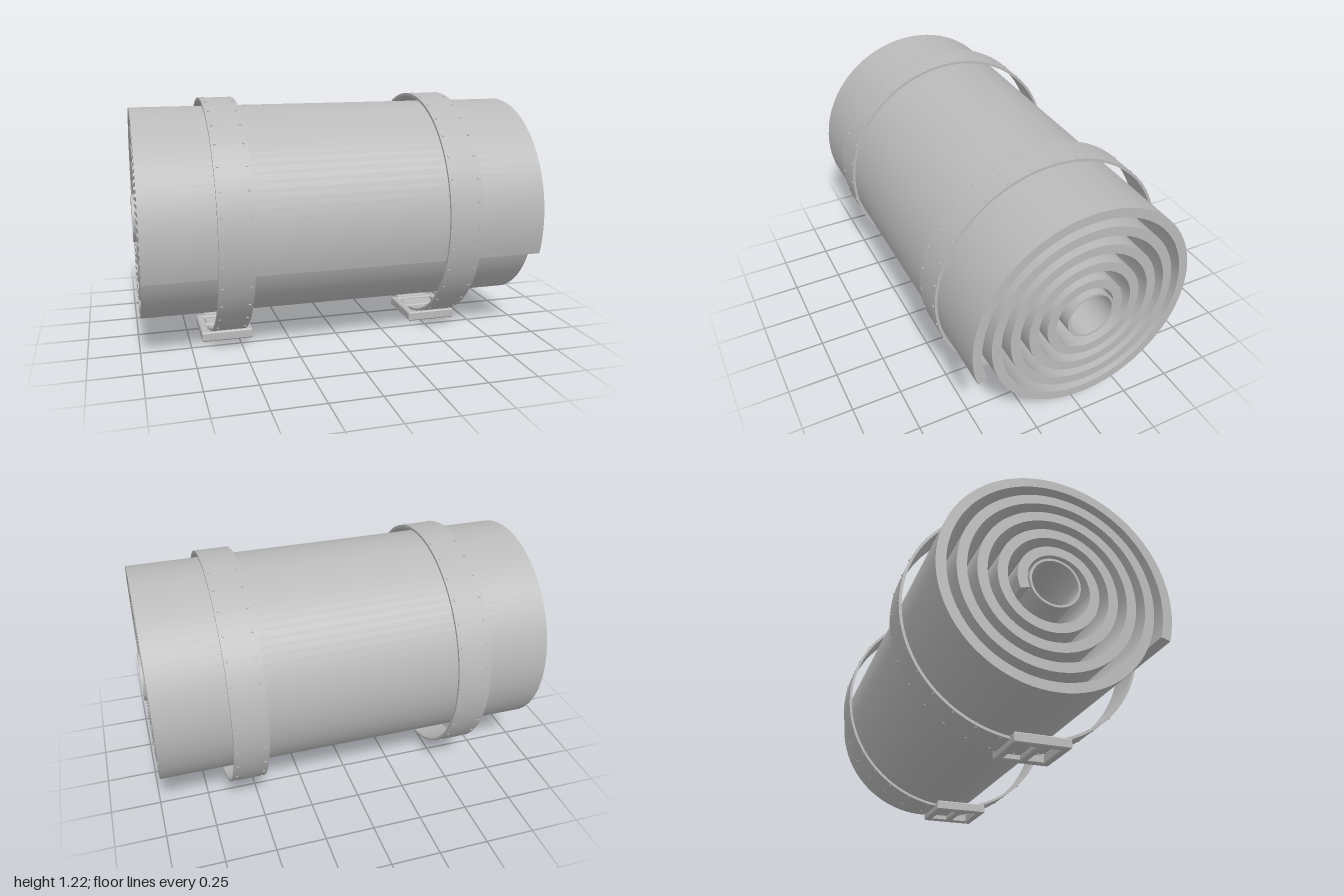
import * as THREE from 'three';
import { toCreasedNormals } from 'three/addons/utils/BufferGeometryUtils.js';

const AXIS_Y = 0.625;

// Extrudes a profile along x, centred; profile x points to -z.
function extrudeX(shape, length) {
  const g = new THREE.ExtrudeGeometry(shape, { depth: length, bevelEnabled: false, curveSegments: 96 });
  g.translate(0, 0, -length / 2).rotateY(Math.PI / 2);
  return toCreasedNormals(g, 0.5);
}

function ringShape(outer, inner) {
  const s = new THREE.Shape().absarc(0, 0, outer, 0, Math.PI * 2);
  s.holes.push(new THREE.Path().absarc(0, 0, inner, 0, Math.PI * 2, true));
  return s;
}

// Band of constant thickness wound outwards along an even spiral.
function spiralShape() {
  const start = -0.31, end = Math.PI * 9 + 0.315, n = 380;
  const pitch = 0.0908 / (Math.PI * 2), thickness = 0.046;
  const outer = [], inner = [];
  for (let i = 0; i <= n; i++) {
    const a = start + (end - start) * i / n;
    const r = 0.169 + pitch * a;
    outer.push(new THREE.Vector2(r * Math.cos(a), r * Math.sin(a)));
    inner.push(new THREE.Vector2((r - thickness) * Math.cos(a), (r - thickness) * Math.sin(a)));
  }
  return new THREE.Shape([...outer, ...inner.reverse()]);
}

function rectPath(PathType, x0, y0, x1, y1) {
  return new PathType([[x0, y0], [x1, y0], [x1, y1], [x0, y1]].map(p => new THREE.Vector2(...p)));
}

// Flat bevelled frame with a centre bar, lying in the xz plane.
function buckleGeometry() {
  const b = 0.006, hx = 0.13 - b, hz = 0.137 - b, w = 0.024;
  const s = rectPath(THREE.Shape, -hx, -hz, hx, hz);
  s.holes.push(rectPath(THREE.Path, -hx + w, w / 2, hx - w, hz - w));
  s.holes.push(rectPath(THREE.Path, -hx + w, -hz + w, hx - w, -w / 2));
  const g = new THREE.ExtrudeGeometry(s, {
    depth: 0.05 - 2 * b, bevelEnabled: true, bevelSize: b, bevelThickness: b, bevelSegments: 1
  });
  return g.translate(0, 0, b).rotateX(-Math.PI / 2);
}

export function createModel() {
  const model = new THREE.Group();
  model.name = 'strappedRoll';
  const grey = new THREE.MeshStandardMaterial({ color: 0xbababa });
  grey.name = 'grey';

  function add(parent, name, geometry, x = 0, y = 0, z = 0) {
    const m = new THREE.Mesh(geometry, grey);
    m.name = name;
    m.position.set(x, y, z);
    parent.add(m);
    return m;
  }

  // Rolled mat around a hollow core tube
  add(model, 'rolledMat', extrudeX(spiralShape(), 1.976), 0, AXIS_Y, 0);
  add(model, 'coreTube', extrudeX(ringShape(0.12, 0.109), 2), 0, AXIS_Y, 0);

  // Two riveted straps, each with a buckle underneath
  const strapR = 0.598, strapY = 0.622;
  const strapGeo = extrudeX(ringShape(strapR, strapR - 0.013), 0.17);
  const buckleGeo = buckleGeometry();
  const rivetGeo = new THREE.CylinderGeometry(0.006, 0.008, 0.008, 8);
  for (const side of [-1, 1]) {
    const strap = new THREE.Group();
    strap.name = side > 0 ? 'leftStrap' : 'rightStrap';
    strap.position.x = side * 0.56;
    model.add(strap);
    add(strap, 'strapBand', strapGeo, 0, strapY, 0);
    add(strap, 'buckle', buckleGeo, 0, 0, 0.059);
    for (let i = 0; i < 32; i++) {
      const a = i / 32 * Math.PI * 2;
      for (const row of [-0.067, 0.067]) {
        const rivet = add(strap, 'rivet', rivetGeo, row,
          strapY + strapR * Math.cos(a), strapR * Math.sin(a));
        rivet.rotation.x = a;
      }
    }
  }
  return model;
}
